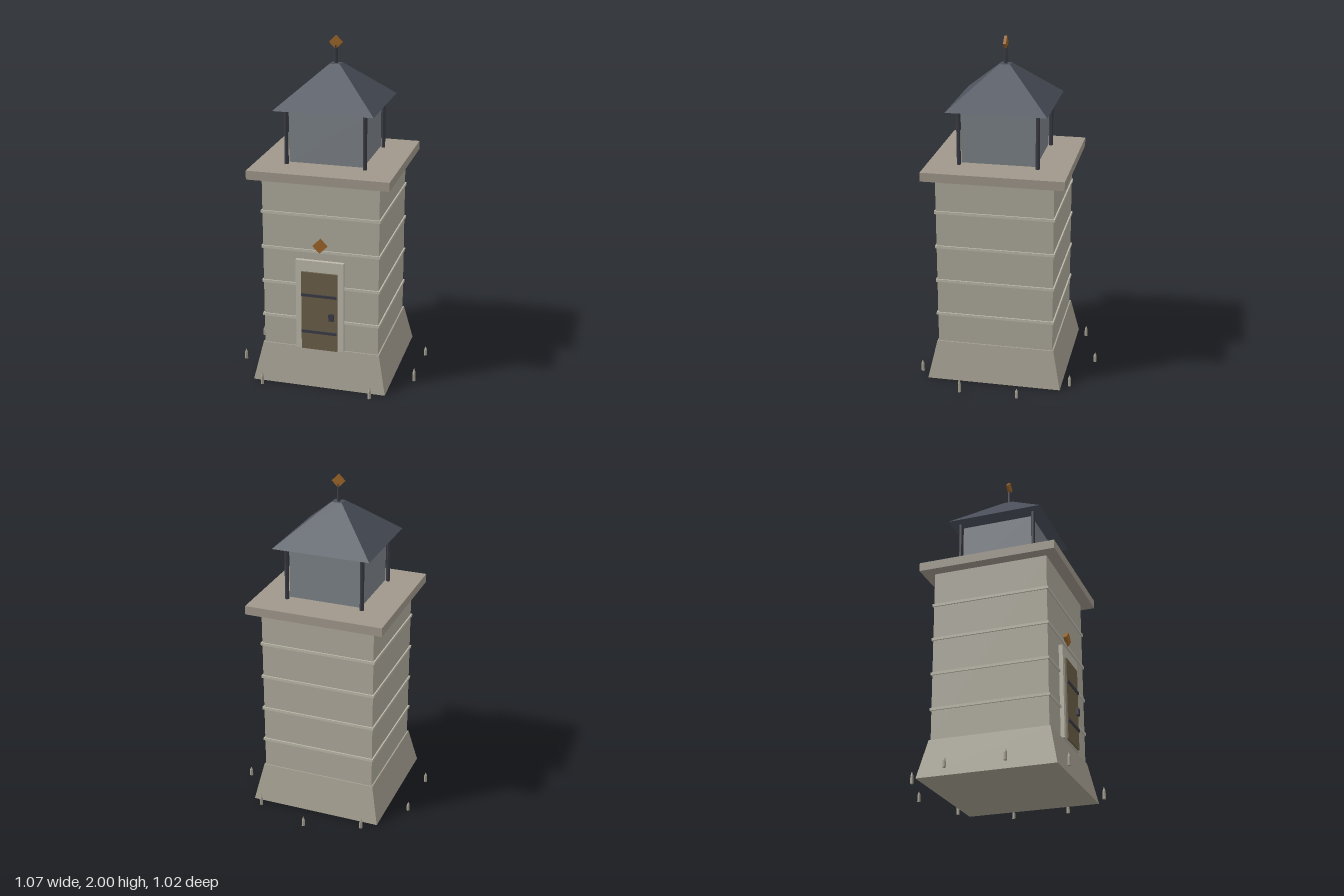
import * as THREE from 'three';

const CX = -0.003, CZ = 0.05; // tower axis

const mat = (color) => new THREE.MeshStandardMaterial({ color, flatShading: true });
const M = {
  base: mat(0xa5a092), wall: mat(0xaeaa9d), band: mat(0xbcb8aa), slab: mat(0xa0988c),
  roof: mat(0x4b515c), iron: mat(0x3a3b45), glass: mat(0x7c8288),
  wood: mat(0x6b5f48), brass: mat(0x9a6428), stake: mat(0xa5a092),
};

export function createModel() {
  const model = new THREE.Group();
  const tower = new THREE.Group();
  tower.name = 'tower';
  tower.position.set(CX, 0, CZ);
  model.add(tower);

  const add = (name, geometry, material, x, y, z, parent = tower) => {
    const mesh = new THREE.Mesh(geometry, material);
    mesh.name = name;
    mesh.position.set(x, y, z);
    parent.add(mesh);
    return mesh;
  };
  // Box given by its size and its bottom height
  const box = (name, material, w, h, d, x, y0, z) =>
    add(name, new THREE.BoxGeometry(w, h, d), material, x, y0 + h / 2, z);
  // Square frustum given by half widths at top and bottom
  const frustum = (name, material, top, bottom, y0, y1) =>
    add(name, new THREE.CylinderGeometry(top * Math.SQRT2, bottom * Math.SQRT2, y1 - y0, 4)
      .rotateY(Math.PI / 4), material, 0, (y0 + y1) / 2, 0);
  // Square plate standing on its corner
  const diamond = (name, half, y, z, depth) => {
    const side = half * Math.SQRT2;
    add(name, new THREE.BoxGeometry(side, side, depth).rotateZ(Math.PI / 4), M.brass, 0, y, z);
  };

  // Stone body
  frustum('base', M.base, 0.348, 0.397, 0, 0.227);
  box('walls', M.wall, 0.68, 1.02, 0.68, 0, 0.227, 0);
  for (const y of [0.406, 0.618, 0.83, 1.043]) {
    box('stoneBand', M.band, 0.696, 0.016, 0.696, 0, y - 0.008, 0);
  }
  box('gallery', M.slab, 0.818, 0.052, 0.818, 0, 1.247, 0);

  // Door
  box('doorFrame', M.band, 0.282, 0.55, 0.04, 0, 0.227, 0.343);
  box('door', M.wood, 0.212, 0.48, 0.04, 0, 0.23, 0.353);
  for (const y of [0.342, 0.57]) {
    box('doorStrap', M.iron, 0.208, 0.016, 0.02, 0, y - 0.008, 0.37);
  }
  box('doorLock', M.iron, 0.03, 0.042, 0.02, 0.073, 0.425, 0.377);
  diamond('wallOrnament', 0.042, 0.868, 0.35, 0.02);

  // Lantern room
  add('lampBase', new THREE.CylinderGeometry(0.1, 0.1, 0.03, 6), M.iron, 0, 1.314, 0);
  box('glass', M.glass, 0.43, 0.29, 0.43, 0, 1.308, 0);
  for (const x of [-0.227, 0.227]) {
    for (const z of [-0.227, 0.227]) {
      add('post', new THREE.CylinderGeometry(0.012, 0.012, 0.322, 6), M.iron, x, 1.46, z);
    }
  }

  // Roof and finial
  frustum('roof', M.roof, 0.03, 0.289, 1.617, 1.842);
  add('finialRod', new THREE.CylinderGeometry(0.01, 0.01, 0.11, 6), M.iron, 0, 1.89, 0);
  diamond('finial', 0.039, 1.961, 0, 0.016);

  // Ring of pointed stakes: x, z, height
  const stakes = [
    [0.005, -0.505, 0.062], [-0.32, -0.405, 0.07], [0.328, -0.395, 0.072],
    [-0.525, -0.13, 0.06], [0.523, -0.115, 0.06], [-0.53, 0.21, 0.066],
    [0.52, 0.225, 0.085], [-0.333, 0.49, 0.075], [0.315, 0.5, 0.073],
  ];
  for (const [x, z, h] of stakes) {
    const profile = [[0, 0], [0.01, 0], [0.009, h * 0.65], [0, h]]
      .map(([r, y]) => new THREE.Vector2(r, y));
    add('stake', new THREE.LatheGeometry(profile, 6), M.stake, x, 0, z, model);
  }
  return model;
}
